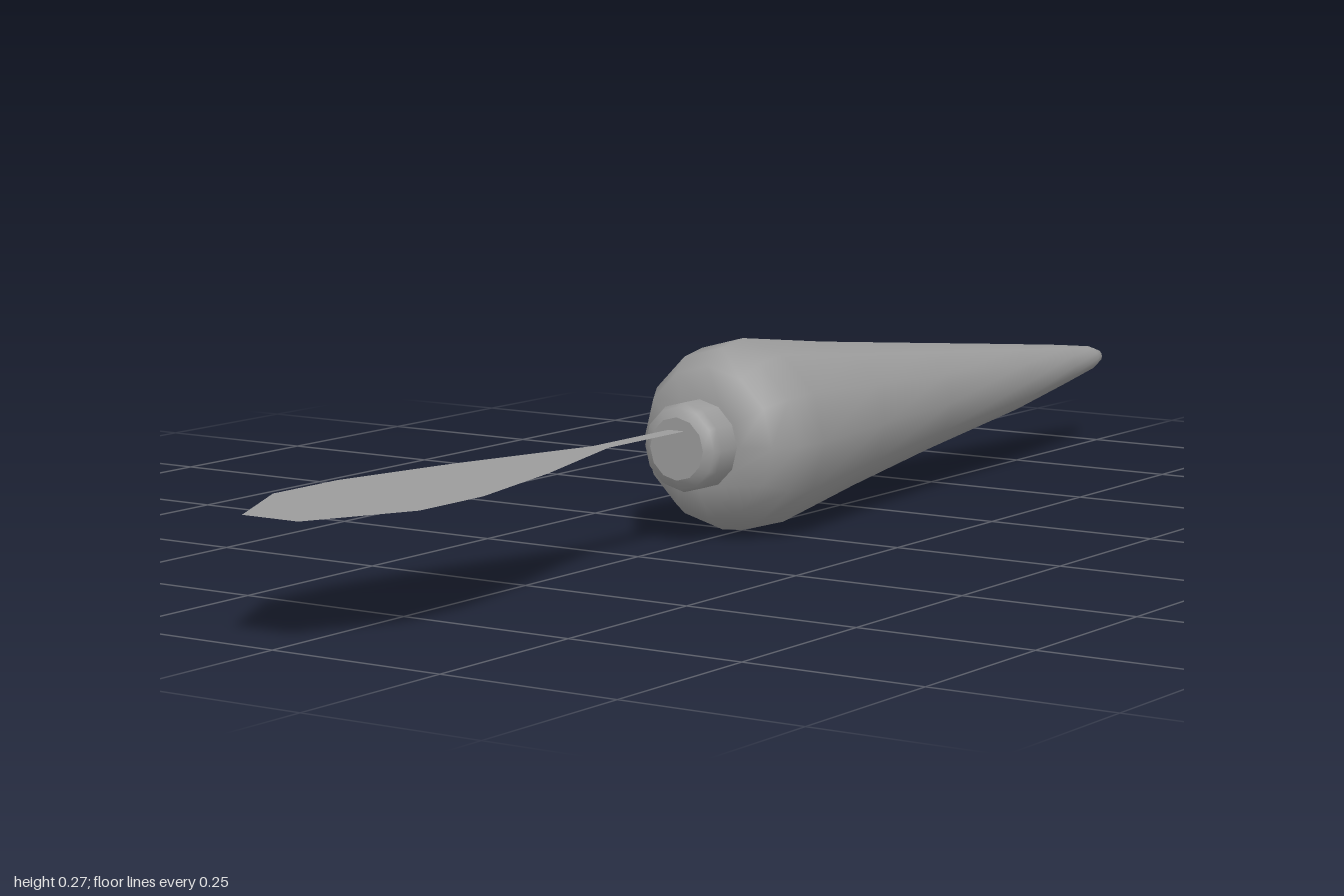
import * as THREE from 'three';

const AXIS = 0.133; // height of the long axis
const SIDES = 12;

const grey = () => new THREE.MeshStandardMaterial({ color: 0x9b9b9b, side: THREE.DoubleSide });

// Turned surface along z from [z, radius] pairs, given back to front
function turned(profile) {
  const pts = profile.map(([z, r]) => new THREE.Vector2(r, z));
  return new THREE.LatheGeometry(pts, SIDES).rotateX(Math.PI / 2);
}

export function createModel() {
  const model = new THREE.Group();
  const add = (name, geometry, y = AXIS) => {
    const mesh = new THREE.Mesh(geometry, grey());
    mesh.name = name;
    mesh.position.y = y;
    model.add(mesh);
  };

  // Tapering root, with a slight sideways bend near the tip
  const root = turned([
    [-1, 0], [-0.996, 0.01], [-0.97, 0.018], [-0.87, 0.031], [-0.69, 0.052],
    [-0.42, 0.082], [-0.2, 0.107], [0, 0.133], [0.05, 0.125], [0.085, 0.104], [0.105, 0.065], [0.107, 0],
  ]);
  const p = root.attributes.position;
  for (let i = 0; i < p.count; i++) {
    const bend = Math.max(0, 1 - Math.abs(p.getZ(i) + 0.69) / 0.25);
    p.setX(i, p.getX(i) + 0.008 * bend);
  }
  add('root', root);

  // Short collar with a rounded rim and a flat end
  add('collar', turned([[0.095, 0.061], [0.142, 0.061], [0.153, 0.056], [0.16, 0.043]]));
  add('collarEnd', new THREE.CircleGeometry(0.043, SIDES).translate(0, 0, 0.16));

  // Flat stem and leaf in one horizontal outline, mirrored about x = 0, a little above the axis
  const half = [[0.013, 0.12], [0.013, 0.335], [0.074, 0.55], [0.113, 0.735], [0.113, 0.86], [0.043, 1]];
  const outline = [...half, ...half.map(([x, z]) => [-x, z]).reverse()];
  const shape = new THREE.Shape(outline.map(([x, z]) => new THREE.Vector2(x, -z)));
  add('leaf', new THREE.ShapeGeometry(shape).rotateX(-Math.PI / 2), AXIS + 0.025);

  return model;
}
